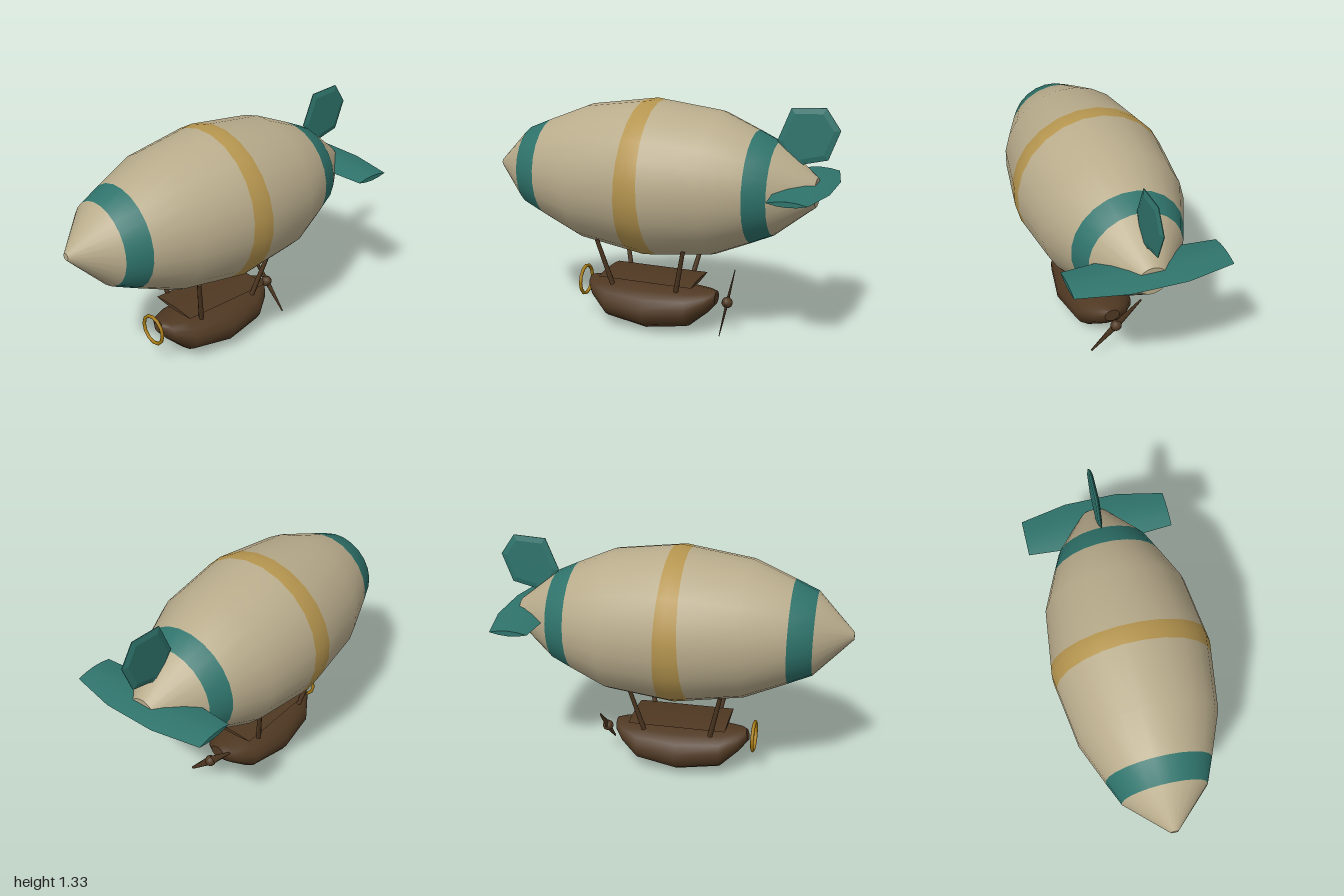
import * as THREE from 'three';
import { toCreasedNormals } from 'three/addons/utils/BufferGeometryUtils.js';

const paint = (name, color) => {
  const m = new THREE.MeshStandardMaterial({ color });
  m.name = name;
  return m;
};

// Skin over closed rings ordered front (+z) to back, with flat end caps.
// spans[i] is the material index between ring i and ring i + 1.
function loft(rings, spans = []) {
  const n = rings[0].length, pos = rings.flat(2), index = [];
  const geo = new THREE.BufferGeometry();
  const group = (start, mat) => geo.addGroup(start, index.length - start, mat);
  for (let i = 0; i < rings.length - 1; i++) {
    const start = index.length;
    for (let j = 0; j < n; j++) {
      const k = (j + 1) % n, a = i * n + j, b = i * n + k;
      index.push(a, a + n, b + n, a, b + n, b);
    }
    group(start, spans[i] ?? 0);
  }
  const start = index.length;
  [rings[0], rings[rings.length - 1]].forEach((ring, end) => {
    const base = pos.length / 3;
    ring.forEach(p => pos.push(...p));
    for (let j = 1; j < n - 1; j++) {
      index.push(base, base + (end ? j + 1 : j), base + (end ? j : j + 1));
    }
  });
  group(start, 0);
  geo.setAttribute('position', new THREE.Float32BufferAttribute(pos, 3));
  geo.setIndex(index);
  geo.computeVertexNormals();
  return geo;
}

// Ring of n points made by a rule of the angle; flat edge on top
const ring = (n, rule) => Array.from({ length: n }, (_, j) => {
  const a = (j + 0.5) / n * Math.PI * 2;
  return rule(Math.cos(a), Math.sin(a));
});

// Thin pointed section, from x0 to x1 with thickness t
const lens = (x0, x1, y, t, z) => {
  const c = (x0 + x1) / 2, h = (x1 - x0) / 2;
  return [[1, 0], [0.5, 0.75], [0, 1], [-0.5, 0.75], [-1, 0], [-0.5, -0.75], [0, -1], [0.5, -0.75]]
    .map(([u, v]) => [c + u * h, y + v * t / 2, z]);
};

export function createModel() {
  const model = new THREE.Group();
  model.name = 'airship';
  const cream = paint('cream canvas', 0xb9ac8c);
  const teal = paint('teal canvas', 0x2f746c);
  const ochre = paint('ochre stripe', 0xb5954f);
  const wood = paint('dark wood', 0x4f3822);
  const brass = paint('brass', 0xa87c12);

  const add = (name, geo, mat, parent = model) => {
    const mesh = new THREE.Mesh(geo, mat);
    mesh.name = name;
    parent.add(mesh);
    return mesh;
  };

  // Envelope: radius profile along z, with stripes as material spans
  const profile = [[1, 0.02], [0.79, 0.236], [0.43, 0.384], [0.04, 0.442],
    [-0.34, 0.398], [-0.66, 0.262], [-0.885, 0.08]];
  const radius = z => {
    let i = 0;
    while (i < profile.length - 2 && z < profile[i + 1][0]) i++;
    const [z0, r0] = profile[i], [z1, r1] = profile[i + 1];
    return r0 + (r1 - r0) * (z - z0) / (z1 - z0);
  };
  // [z, widening of the stripe toward the belly, material of the next span]
  const stations = [[1, 0, 0], [0.795, 0, 1], [0.665, 0, 0], [0.43, 0, 0], [0.095, 0.04, 2],
    [0.04, 0, 2], [-0.005, -0.025, 0], [-0.34, 0, 0], [-0.55, 0, 1], [-0.668, 0, 0], [-0.885, 0, 0]];
  const hull = stations.map(([z, flare]) => ring(24, (c, s) => {
    const zz = z + flare * (1 - s) / 2, r = radius(zz);
    return [r * c, 0.89 + 0.01 * zz + r * s, zz];
  }));
  add('envelope', loft(hull, stations.map(s => s[2])), [cream, teal, ochre]);

  // Upright tail fin, drawn as (-z, y)
  const outline = [[0.66, 1.15], [0.69, 1.08], [0.79, 1.0], [0.81, 1.03],
    [0.935, 1.06], [0.995, 1.22], [0.915, 1.335], [0.73, 1.325]];
  const fin = new THREE.ExtrudeGeometry(new THREE.Shape(outline.map(p => new THREE.Vector2(...p))), {
    depth: 0.004, bevelThickness: 0.009, bevelSize: 0.03, bevelOffset: -0.03, bevelSegments: 1,
  });
  fin.translate(0, 0, -0.002).rotateY(Math.PI / 2);
  add('tailFin', fin, teal);

  // Tailplane: lens sections across the span
  const plane = [[0.415, 0.71, 0.925, 0.03], [0.15, 0.69, 0.98, 0.05],
    [-0.15, 0.69, 0.98, 0.05], [-0.415, 0.71, 0.925, 0.03]]
    .map(([x, lead, trail, t]) => lens(lead, trail, 0.912, t, x));
  add('tailplane', toCreasedNormals(loft(plane).rotateY(Math.PI / 2), 0.7), teal);

  // Gondola: oval sections sharing a level top [z, bottom, top, half width, lean]
  const gondola = new THREE.Group();
  gondola.name = 'gondola';
  model.add(gondola);
  const hullRings = [[0.442, 0.2, 0.263, 0.034, 0.008], [0.4, 0.14, 0.265, 0.1, 0],
    [0.295, 0.04, 0.266, 0.172, 0], [0.05, 0.003, 0.267, 0.21, 0], [-0.187, 0.037, 0.262, 0.172, 0],
    [-0.29, 0.125, 0.257, 0.105, 0], [-0.335, 0.176, 0.252, 0.045, 0]]
    .map(([z, lo, hi, w, lean]) => ring(16, (c, s) =>
      [w * c, (lo + hi) / 2 + s * (hi - lo) / 2, z - lean * s]));
  add('gondolaHull', loft(hullRings), wood, gondola);

  // Thin platform above the hull
  const deck = [lens(-0.15, 0.15, 0.31, 0.022, 0.33), lens(-0.15, 0.15, 0.306, 0.022, -0.23)];
  add('platform', toCreasedNormals(loft(deck), 0.7), wood, gondola);

  // Four leaning struts
  const up = new THREE.Vector3(0, 1, 0);
  for (const side of [-1, 1]) {
    for (const [zTop, zLow] of [[0.31, 0.245], [-0.205, -0.14]]) {
      const top = new THREE.Vector3(side * 0.207, 0.55, zTop);
      const low = new THREE.Vector3(side * 0.145, 0.275, zLow);
      const dir = top.clone().sub(low);
      const strut = add('strut', new THREE.CylinderGeometry(0.012, 0.015, dir.length(), 8), wood, gondola);
      strut.position.copy(top).add(low).multiplyScalar(0.5);
      strut.quaternion.setFromUnitVectors(up, dir.normalize());
    }
  }

  // Brass ring ahead of the gondola
  add('frontRing', new THREE.TorusGeometry(0.084, 0.01, 8, 12), brass, gondola)
    .position.set(0, 0.225, 0.477);

  // Rear propeller with two tapered blades
  const propeller = new THREE.Group();
  propeller.name = 'propeller';
  propeller.position.set(0, 0.193, -0.398);
  propeller.rotation.z = Math.PI / 4;
  gondola.add(propeller);
  add('propellerHub', new THREE.SphereGeometry(0.032, 12, 8), wood, propeller);
  for (const turn of [0, Math.PI]) {
    const blade = new THREE.CylinderGeometry(0.007, 0.026, 0.205, 8);
    blade.translate(0, 0.105, 0).scale(1, 1, 0.2).rotateZ(turn);
    add('propellerBlade', blade, wood, propeller);
  }
  return model;
}
